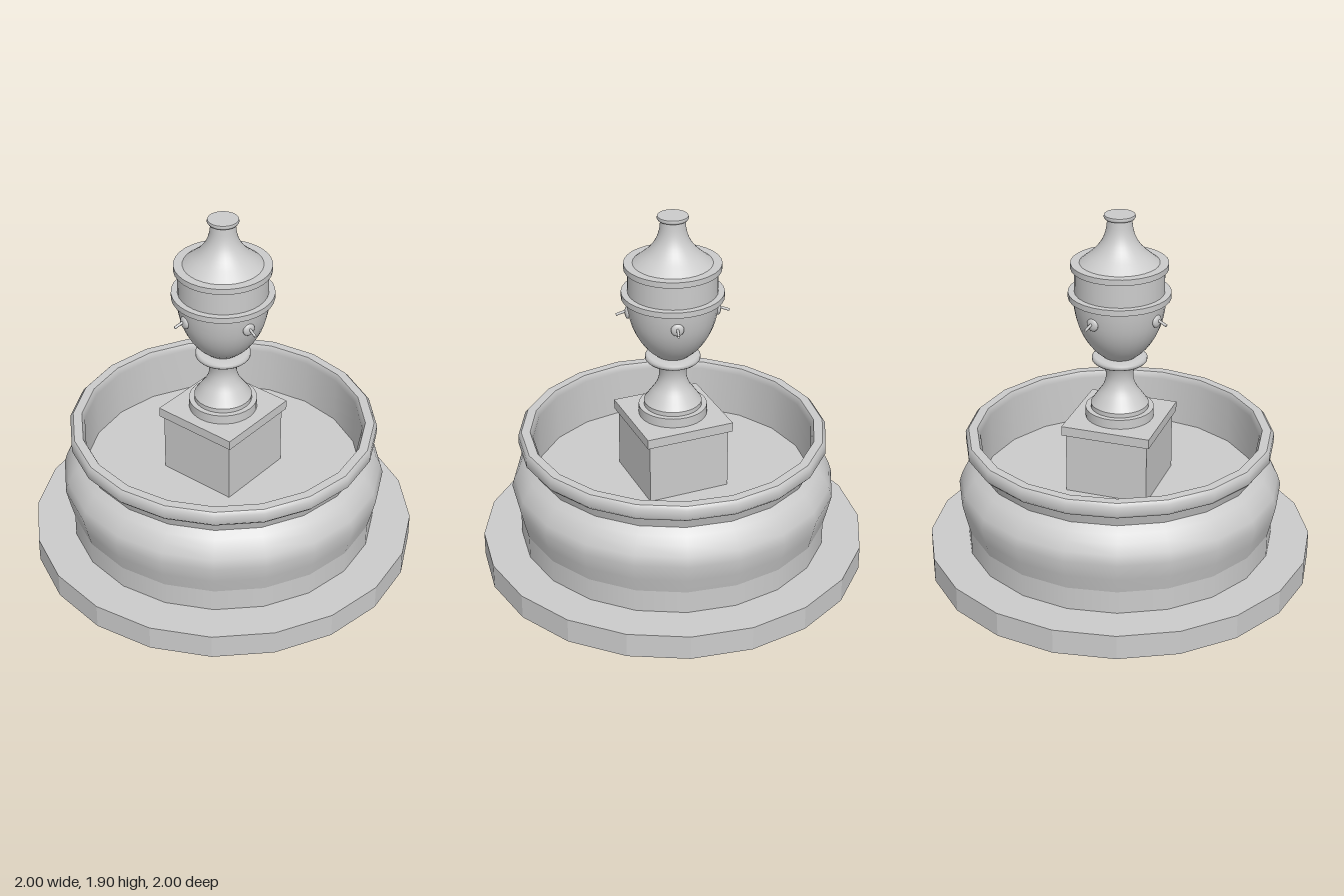
import * as THREE from 'three';
import { mergeGeometries } from 'three/addons/utils/BufferGeometryUtils.js';

const stone = new THREE.MeshStandardMaterial({ color: 0xcccccc, side: THREE.DoubleSide });
const facetedStone = stone.clone();
facetedStone.flatShading = true;

function add(parent, name, geometry, material = stone) {
  const mesh = new THREE.Mesh(geometry, material);
  mesh.name = name;
  parent.add(mesh);
  return mesh;
}

// Turned shape from runs of [radius, y]; each run is smooth, the joins stay sharp.
function turned(sides, ...runs) {
  return mergeGeometries(runs.map((run) =>
    new THREE.LatheGeometry(run.map(([r, y]) => new THREE.Vector2(r, y)), sides)));
}

// Smooth curve through a few profile points.
function curve(points, steps = 14) {
  const spline = new THREE.SplineCurve(points.map(([r, y]) => new THREE.Vector2(r, y)));
  return spline.getPoints(steps).map((p) => [p.x, p.y]);
}

// Square-edged band as three runs: underside, wall, top.
function band(inner, outer, y0, y1, innerTop = inner) {
  return [[[inner, y0], [outer, y0]], [[outer, y0], [outer, y1]], [[outer, y1], [innerTop, y1]]];
}

function box(parent, name, width, y0, y1) {
  add(parent, name, new THREE.BoxGeometry(width, y1 - y0, width)).position.y = (y0 + y1) / 2;
}

export function createModel() {
  const fountain = new THREE.Group();
  fountain.name = 'fountain';
  const basinSides = 20;
  const urnSides = 32;

  // Ground step, hollow underneath
  add(fountain, 'groundStep', turned(basinSides,
    [[1, 0], [1, 0.13]], [[1, 0.13], [0.79, 0.13]]), facetedStone);

  // Basin: plinth band, bulging wall, rolled rim and inner wall
  const basin = new THREE.Group();
  basin.name = 'basin';
  fountain.add(basin);
  add(basin, 'basinFloor', turned(basinSides, [[0, 0.09], [0.8, 0.09]]));
  add(basin, 'basinPlinth', turned(basinSides, [[0.8, 0.09], [0.8, 0.25]]));
  add(basin, 'basinWall', turned(basinSides,
    [[0.8, 0.25], [0.82, 0.33], [0.84, 0.42], [0.825, 0.47], [0.8, 0.52], [0.77, 0.555], [0.735, 0.585]],
    [[0.735, 0.585], [0.755, 0.65]]));
  add(basin, 'basinRim', turned(basinSides,
    [[0.755, 0.65], [0.78, 0.652], [0.796, 0.67], [0.796, 0.715], [0.78, 0.733]],
    [[0.78, 0.733], [0.735, 0.733]],
    [[0.735, 0.733], [0.72, 0.7], [0.72, 0.09]]));
  add(basin, 'waterSurface', turned(basinSides, [[0.72, 0.45], [0, 0.45]]));

  // Square pedestal standing in the basin
  box(fountain, 'pedestal', 0.43, 0.05, 0.77);
  box(fountain, 'pedestalCap', 0.465, 0.77, 0.82);

  // Urn
  const urn = new THREE.Group();
  urn.name = 'urn';
  fountain.add(urn);
  add(urn, 'foot', turned(urnSides, ...band(0, 0.175, 0.82, 0.87, 0.14)));
  add(urn, 'stem', turned(urnSides,
    [[0.148, 0.87], [0.148, 0.893]],
    curve([[0.148, 0.893], [0.115, 0.94], [0.085, 0.985], [0.07, 1.035], [0.075, 1.085], [0.09, 1.125]])));
  add(urn, 'collar', turned(urnSides,
    [[0.08, 1.122], [0.13, 1.122], [0.14, 1.132], [0.14, 1.147], [0.13, 1.156], [0.08, 1.156]]));
  add(urn, 'bowl', turned(urnSides,
    curve([[0.085, 1.155], [0.135, 1.2], [0.18, 1.265], [0.21, 1.335], [0.227, 1.41], [0.235, 1.475]])));
  add(urn, 'bowlBand', turned(urnSides, ...band(0.22, 0.258, 1.472, 1.502)));
  add(urn, 'drum', turned(urnSides, [[0.226, 1.5], [0.226, 1.63]]));
  add(urn, 'lidBrim', turned(urnSides, ...band(0.22, 0.244, 1.625, 1.655, 0.19)));
  add(urn, 'lid', turned(urnSides,
    curve([[0.2, 1.655], [0.17, 1.68], [0.125, 1.72], [0.088, 1.77], [0.068, 1.825], [0.061, 1.885]])));
  add(urn, 'finial', turned(urnSides,
    [[0.06, 1.88], [0.074, 1.883], [0.079, 1.892], [0.076, 1.903]],
    [[0.076, 1.903], [0, 1.903]]));

  // Four water spouts, each a small boss with a drooping pipe
  for (let i = 0; i < 4; i++) {
    const spout = new THREE.Group();
    spout.name = 'spout' + (i + 1);
    spout.rotation.y = -0.3 + i * Math.PI / 2;
    const boss = add(spout, 'spoutBoss', new THREE.SphereGeometry(0.033, 14, 10));
    boss.scale.x = 0.45;
    boss.position.set(0.226, 1.395, 0);
    const path = new THREE.LineCurve3(new THREE.Vector3(0.22, 1.407, 0), new THREE.Vector3(0.284, 1.384, 0));
    add(spout, 'spoutPipe', new THREE.TubeGeometry(path, 1, 0.007, 8));
    urn.add(spout);
  }
  return fountain;
}
